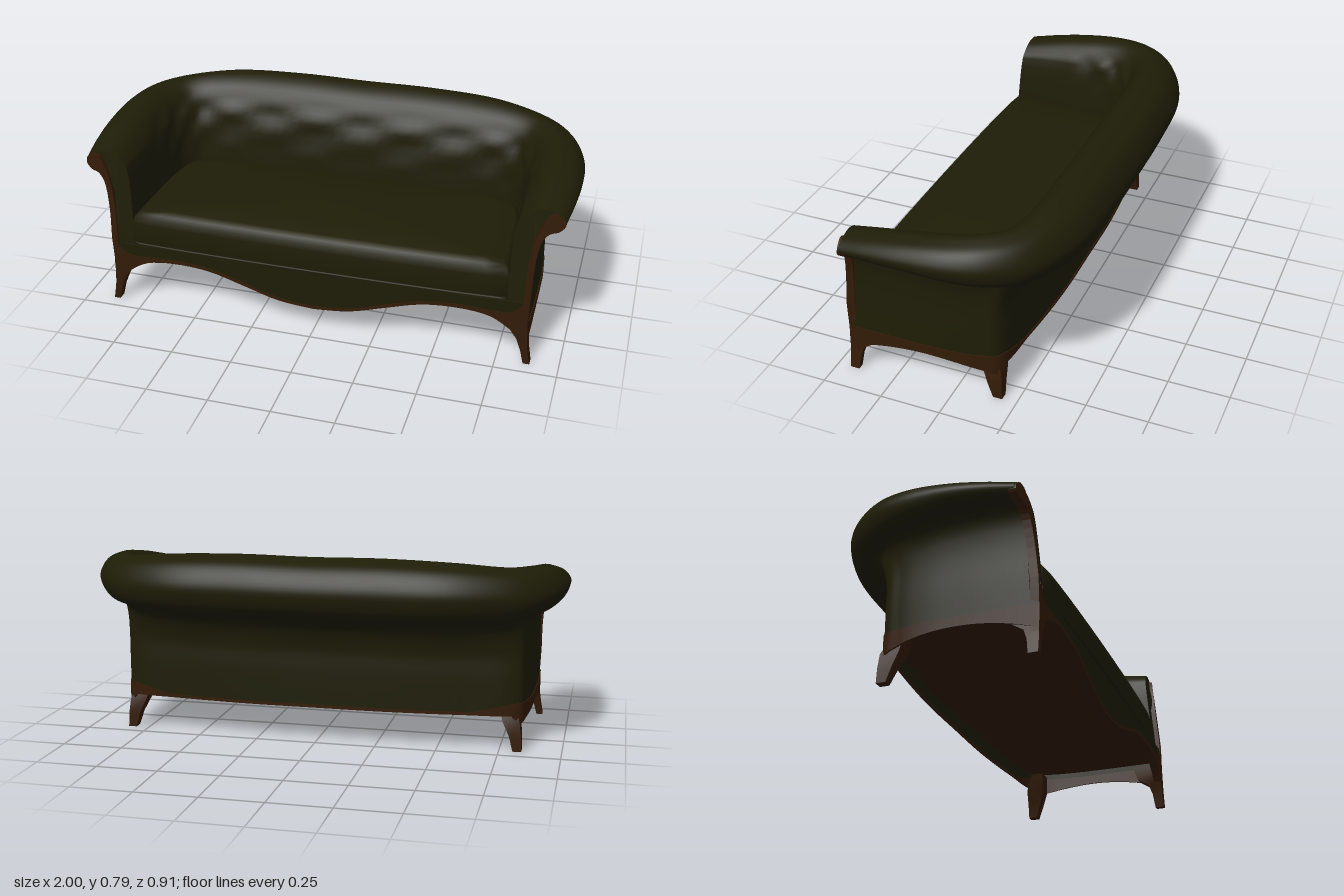
import * as THREE from 'three';
import { toCreasedNormals } from 'three/addons/utils/BufferGeometryUtils.js';

const fabric = new THREE.MeshStandardMaterial({ color: 0x1e1d07, side: THREE.DoubleSide });
fabric.name = 'olive fabric';
const wood = new THREE.MeshStandardMaterial({ color: 0x331b07, side: THREE.DoubleSide });
wood.name = 'brown wood';

const V = (x, y, z) => new THREE.Vector3(x, y, z);
const lerp = THREE.MathUtils.lerp;
const smooth = THREE.MathUtils.smoothstep;

function part(group, name, geometry, material) {
  const mesh = new THREE.Mesh(geometry, material);
  mesh.name = name;
  group.add(mesh);
  return mesh;
}

// Skin over rows of points
function skin(rows, closed = false) {
  const n = rows[0].length, index = [];
  for (let i = 0; i < rows.length - 1; i++) {
    for (let j = 0; j < (closed ? n : n - 1); j++) {
      const a = i * n + j, b = i * n + (j + 1) % n;
      index.push(a, b, a + n, b, b + n, a + n);
    }
  }
  const g = new THREE.BufferGeometry().setFromPoints(rows.flat());
  g.setIndex(index);
  g.computeVertexNormals();
  return g;
}

// U-shaped plan curve from three numbers per key, mirrored across x = 0
function uCurve(keys) {
  const half = keys.map(([x, z, h = 0]) => V(x, h, z));
  const other = half.slice(0, -1).reverse().map(p => V(-p.x, p.y, p.z));
  return new THREE.CatmullRomCurve3([...half, ...other]);
}

// Inner seat line, outer wall (with roll bottom height), roll edge (with roll top height)
const inner = uCurve([[.78, .43], [.777, .3], [.772, .15], [.762, .02], [.74, -.07], [.69, -.122], [.55, -.138], [.28, -.14], [0, -.14]]);
const wall = uCurve([[.867, .44, .585], [.87, .3, .59], [.87, .15, .59], [.865, 0, .575], [.85, -.1, .56],
  [.822, -.172, .545], [.6, -.205, .54], [.3, -.228, .535], [0, -.23, .535]]);
const roll = uCurve([[.975, .42, .67], [.99, .3, .695], [1, .13, .72], [.99, -.05, .74], [.945, -.19, .75],
  [.84, -.32, .755], [.6, -.425, .775], [.3, -.45, .785], [0, -.453, .782]]);

// Roll profile: fraction outwards, fraction of roll height
const profile = [[.08, .25], [.19, .6], [.34, .87], [.54, 1], [.68, .96], [.83, .87], [.94, .7], [1, .48], [.95, .24], [.85, .09], [.65, 0]];

// Lower edge of the body: arched at the sides, straight at the back
const bodyBottom = W => Math.abs(W.x) > .8 ? Math.min(.157 - .55 * (W.z - .12) ** 2, .157) : .145;

function shellSection(t) {
  const I = inner.getPoint(t), W = wall.getPoint(t), R = roll.getPoint(t);
  const top = R.y, bottom = W.y;
  const at = (s, y) => V(lerp(I.x, R.x, s), y, lerp(I.z, R.z, s));
  const wallAt = y => V(W.x, y, W.z);
  const neck = wallAt(bottom - .04).lerp(at(.65, bottom - .04), .35);
  const keys = [at(0, .27), at(0, .42), ...profile.map(([s, f]) => at(s, lerp(bottom, top, f))),
    neck, wallAt(bottom - .13), wallAt(.3), wallAt(bodyBottom(W) + .001)];
  const pts = new THREE.CatmullRomCurve3(keys, false, 'centripetal').getPoints(64);
  const out = V(R.x - I.x, 0, R.z - I.z).normalize();
  pts.forEach((p, j) => {
    // Soft button tufting on the inside
    const mask = j < 20 ? smooth(p.y, .44, .52) * (1 - smooth(p.y, .64, .72)) * smooth(Math.min(t, 1 - t), .08, .2) : 0;
    p.addScaledVector(out, .009 * mask * Math.cos(t * 70) * Math.cos((p.y - .56) * 40));
    // Front edge leans back
    p.z -= .08 * Math.max(0, p.y - .3) * smooth(p.z, 0, .4);
  });
  return pts;
}

function capGeometry(section) {
  let pts = section;
  if (THREE.ShapeUtils.isClockWise(pts)) pts = [...pts].reverse();
  const faces = THREE.ShapeUtils.triangulateShape(pts.map(p => new THREE.Vector2(p.x, p.y)), []);
  const g = new THREE.BufferGeometry().setFromPoints(pts);
  g.setIndex(faces.flat());
  g.computeVertexNormals();
  return g;
}

function extrude(points, depth, z) {
  const shape = new THREE.Shape(points.map(p => new THREE.Vector2(...p)));
  return new THREE.ExtrudeGeometry(shape, { depth, bevelEnabled: false }).translate(0, 0, z);
}

const spline = (pts, n) => new THREE.SplineCurve(pts.map(p => new THREE.Vector2(...p))).getPoints(n).map(p => [p.x, p.y]);
const mirrored = pts => [...pts, ...pts.map(([x, y]) => [-x, y]).reverse()];

// Tapered leg through rectangles [y, x0, x1, z0, z1]
function legGeometry(levels, side) {
  const rows = levels.map(([y, x0, x1, z0, z1]) => {
    const ring = [V(side * x0, y, z0), V(side * x1, y, z0), V(side * x1, y, z1), V(side * x0, y, z1)];
    return side > 0 ? ring.reverse() : ring;
  });
  const middle = ring => ring.map(() => ring.reduce((a, p) => a.add(p), V(0, 0, 0)).multiplyScalar(.25));
  rows.unshift(middle(rows[0]));
  rows.push(middle(rows[rows.length - 1]));
  rows.reverse();
  return toCreasedNormals(skin(rows, true), .6);
}

export function createModel() {
  const sofa = new THREE.Group();
  sofa.name = 'sofa';

  // Arms and back in one sweep
  const N = 96;
  const rows = Array.from({ length: N + 1 }, (_, i) => shellSection(i / N));
  part(sofa, 'armsAndBack', skin(rows), fabric);
  part(sofa, 'leftArmFront', capGeometry(rows[0]), fabric);
  part(sofa, 'rightArmFront', capGeometry(rows[N]), fabric);

  // Seat cushion
  const outline = inner.getPoints(64);
  for (let i = 1; i < 20; i++) {
    const x = lerp(-.78, .78, i / 20);
    outline.push(V(x, 0, .43 + .02 * Math.sqrt(1 - (x / .78) ** 2)));
  }
  const ringAt = (s, y) => outline.map(p => V(p.x * (1 - (1 - s) * .6), y, .15 + (p.z - .15) * s));
  const crown = s => outline.map(p => V(p.x * s, lerp(.456, .426, s * s), .15 + (p.z - .15) * s));
  const cushionRows = [ringAt(.97, .268), ringAt(.995, .285), ringAt(1, .33), ringAt(.998, .375), ringAt(.98, .402),
    ringAt(.94, .42), crown(.86), crown(.6), crown(.3), crown(0)];
  part(sofa, 'seatCushion', skin(cushionRows.reverse(), true), fabric);
  const seam = new THREE.CatmullRomCurve3(ringAt(.992, .282), true);
  part(sofa, 'cushionPiping', new THREE.TubeGeometry(seam, 160, .005, 6, true), fabric);

  // Scalloped front apron with its wooden edge
  const scallop = spline([[.8, .15], [.72, .197], [.6, .213], [.45, .203], [.3, .16], [.15, .115], [0, .1]], 24);
  const woodTop = spline([[.842, .265], [.8, .228], [.72, .224], [.6, .229], [.45, .217], [.3, .174], [.15, .128], [0, .112]], 24);
  const green = mirrored([[.845, .275], ...woodTop.map(([x, y]) => [x, y - .006]).slice(0, -1), [.001, .106]]);
  part(sofa, 'frontApron', extrude(green, .035, .407), fabric);
  const footCurve = spline([[.86, 0], [.845, .08], [.8, .15]], 6);
  for (const side of [1, -1]) {
    const edge = [[.885, 0], [.872, .08], [.866, .2], [.868, .27], ...woodTop, ...[...footCurve, ...scallop.slice(1)].reverse()];
    part(sofa, side > 0 ? 'leftFrontRail' : 'rightFrontRail',
      extrude(edge.map(([x, y]) => [x * side, y]), .033, .412), wood);

    // Wooden trim rising up the arm front into a scroll
    const outer = spline([[.867, .2], [.871, .3], [.873, .42], [.887, .53], [.915, .577], [.95, .588], [.974, .615], [.962, .645], [.935, .66]], 24);
    const inside = spline([[.912, .652], [.892, .62], [.87, .57], [.855, .5], [.848, .4], [.843, .2]], 16);
    const trim = extrude([...outer, ...inside].map(([x, y]) => [x * side, y]), .033, .412);
    const pos = trim.attributes.position;
    for (let i = 0; i < pos.count; i++) {
      const x = Math.abs(pos.getX(i)), y = pos.getY(i);
      pos.setZ(i, pos.getZ(i) - .08 * Math.max(0, y - .3) - .2 * Math.max(0, x - .87));
    }
    trim.computeVertexNormals();
    part(sofa, side > 0 ? 'leftArmTrim' : 'rightArmTrim', trim, wood);

    // Legs
    part(sofa, 'frontLeg', legGeometry([[0, .86, .886, .407, .445], [.06, .846, .875, .4, .445],
      [.1, .832, .87, .387, .445], [.13, .82, .868, .34, .445], [.19, .82, .864, .32, .44]], side), wood);
    part(sofa, 'rearLeg', legGeometry([[0, .805, .84, -.19, -.152], [.06, .79, .838, -.188, -.13],
      [.12, .762, .83, -.184, -.108], [.19, .74, .808, -.15, -.1]], side), wood);
  }

  // Wooden band around the sides and back
  const railRows = Array.from({ length: N + 1 }, (_, i) => {
    const t = i / N, W = wall.getPoint(t), R = roll.getPoint(t), I = inner.getPoint(t);
    const out = V(R.x - I.x, 0, R.z - I.z).normalize();
    const ax = Math.abs(W.x), bottom = bodyBottom(W);
    const top = ax > .8 ? .197 : Math.max(.157, .197 - (.8 - ax) * .25);
    return [[.004, top], [.004, bottom], [-.003, bottom], [-.001, top]]
      .map(([d, y]) => V(W.x + out.x * d, y, W.z + out.z * d));
  });
  part(sofa, 'baseRail', toCreasedNormals(skin(railRows, true), .6), wood);

  // Recessed underside panel
  const floor = new THREE.Shape(wall.getPoints(48).map(p => new THREE.Vector2(p.x * .99, Math.min(p.z * .99, .41))));
  part(sofa, 'underside', new THREE.ShapeGeometry(floor).rotateX(Math.PI / 2).translate(0, .217, 0), wood);

  return sofa;
}
